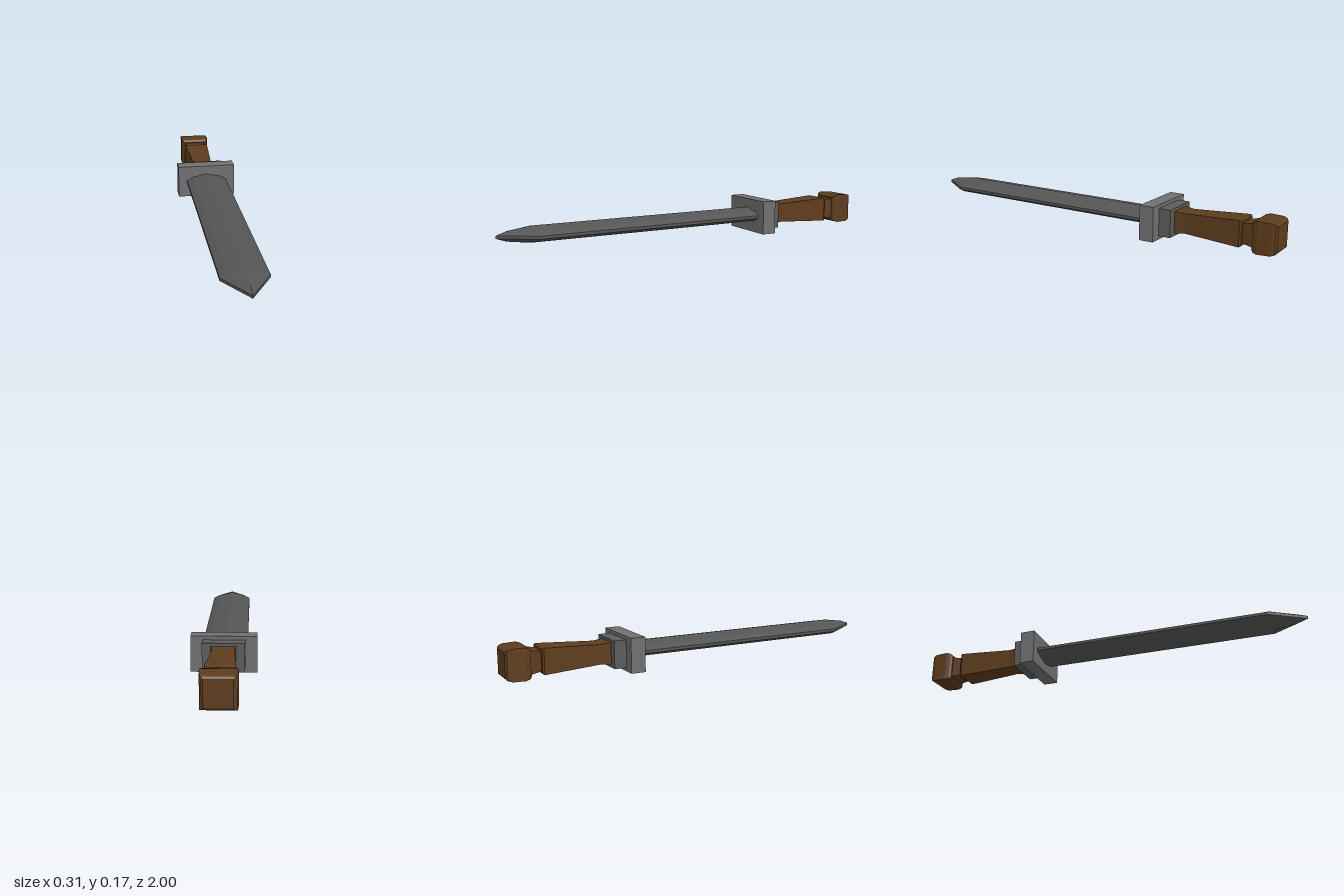
import * as THREE from 'three';

const CY = 0.086; // height of the long axis

const mat = (color) => new THREE.MeshStandardMaterial({ color, flatShading: true });

// Skin a list of rings (arrays of [x, y, z], clockwise seen from +z, running toward +z); caps both ends.
function loft(rings) {
  const n = rings[0].length, pos = [];
  const tri = (a, b, c) => pos.push(...a, ...b, ...c);
  for (let r = 0; r + 1 < rings.length; r++) {
    for (let i = 0; i < n; i++) {
      const j = (i + 1) % n, A = rings[r], B = rings[r + 1];
      tri(A[i], B[j], A[j]);
      tri(A[i], B[i], B[j]);
    }
  }
  const first = rings[0], last = rings[rings.length - 1];
  for (let i = 1; i + 1 < n; i++) {
    tri(first[0], first[i], first[i + 1]);
    tri(last[0], last[i + 1], last[i]);
  }
  const g = new THREE.BufferGeometry();
  g.setAttribute('position', new THREE.Float32BufferAttribute(pos, 3));
  g.computeVertexNormals();
  return g;
}

// Rectangular rings along z from [z, halfWidth, halfHeight]
const rectRings = (profile) => profile.map(([z, w, h]) =>
  [[-w, CY + h, z], [w, CY + h, z], [w, CY - h, z], [-w, CY - h, z]]);

export function createModel() {
  const group = new THREE.Group();
  const add = (name, geometry, material) => {
    const mesh = new THREE.Mesh(geometry, material);
    mesh.name = name;
    group.add(mesh);
    return mesh;
  };
  const bladeMat = mat(0x555555), guardMat = mat(0x707070), collarMat = mat(0x5c5c5c), wood = mat(0x5e3c1c);

  // Blade: bevelled section; each contour closes on the centre line at its own distance
  const quarter = [[0, 0.04, 0.84], [0.075, 0.024, 0.95], [0.108, 0.007, 1]]; // x, y offset, tip z
  const right = [...quarter, ...quarter.map(([x, y, t]) => [x, -y, t]).reverse()];
  const section = [...right, ...right.slice(1, -1).reverse().map(([x, y, t]) => [-x, y, t])];
  add('blade', loft([
    section.map(([x, y]) => [x, CY + y, -0.37]),
    section.map(([x, y]) => [x, CY + y, 0.83]),
    section.map(([, y, t]) => [0, CY + y, t]),
  ]), bladeMat);

  // Guard and the smaller collar behind it
  add('guard', new THREE.BoxGeometry(0.308, 0.171, 0.074), guardMat).position.set(0, CY, -0.39);
  add('collar', new THREE.BoxGeometry(0.196, 0.136, 0.07), collarMat).position.set(0, CY, -0.453);

  // Grip: flared at the collar, swelling toward the pommel
  add('grip', loft(rectRings([
    [-0.828, 0.061, 0.058],
    [-0.82, 0.066, 0.063],
    [-0.54, 0.05, 0.049],
    [-0.485, 0.058, 0.054],
  ])), wood);

  // Neck between grip and pommel
  add('neck', loft(rectRings([
    [-0.89, 0.057, 0.057],
    [-0.82, 0.044, 0.047],
  ])), wood);

  // Pommel: square block with rounded shoulders
  add('pommel', loft(rectRings([
    [-1, 0.06, 0.06],
    [-0.992, 0.07, 0.069],
    [-0.972, 0.077, 0.075],
    [-0.91, 0.079, 0.077],
    [-0.89, 0.073, 0.072],
    [-0.88, 0.062, 0.062],
  ])), wood);

  return group;
}
